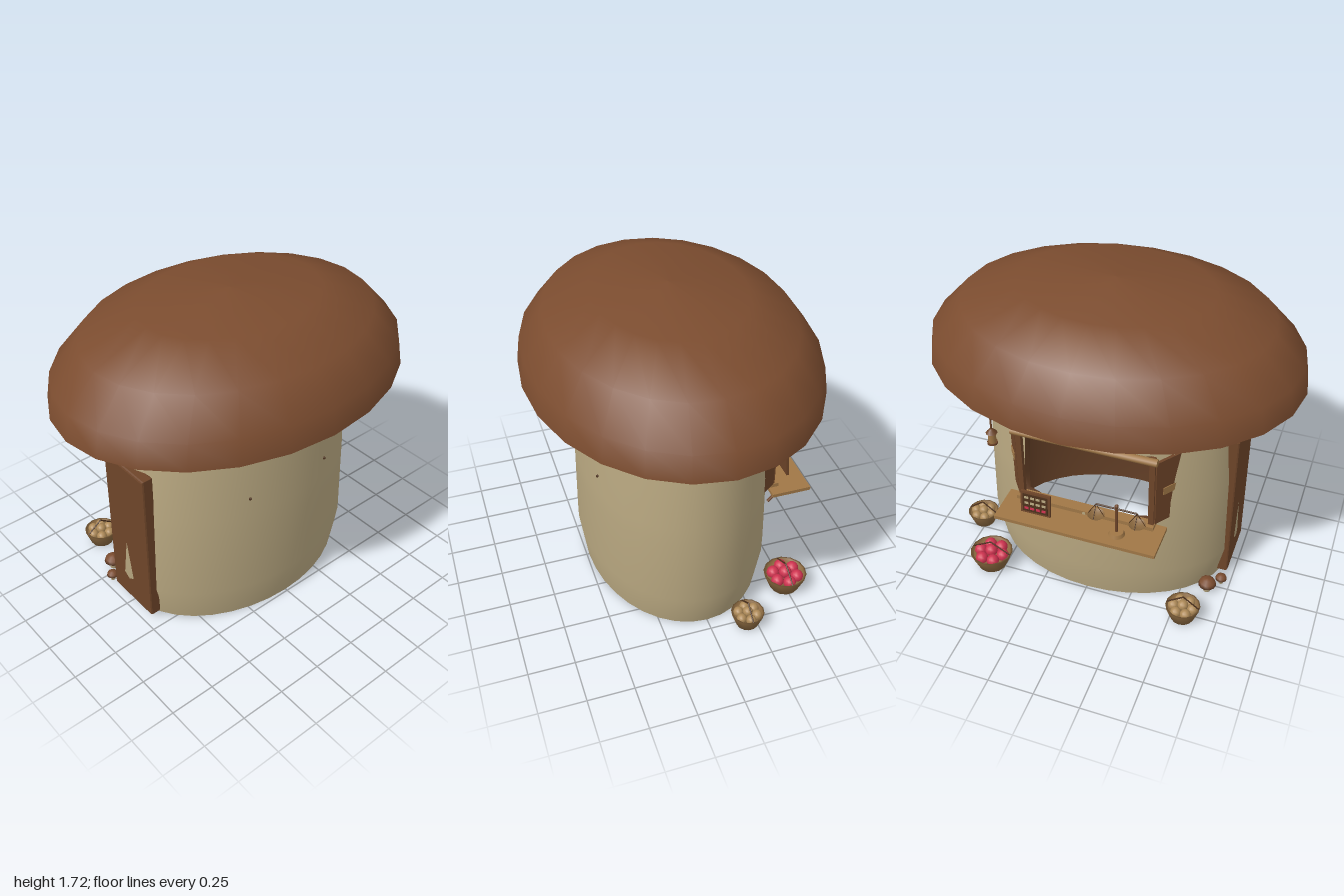
import * as THREE from 'three';

const mat = (name, color, side = THREE.FrontSide) => {
  const m = new THREE.MeshStandardMaterial({ color, side });
  m.name = name;
  return m;
};
const M = {
  stem: mat('stemCream', 0xb8a780, THREE.DoubleSide),
  cap: mat('capBrown', 0x7b4c2f),
  under: mat('gillGrey', 0xa59d84),
  inside: mat('interiorBrown', 0x5f3c24, THREE.DoubleSide),
  door: mat('doorBrown', 0x6e4529),
  wood: mat('lightWood', 0xa07746),
  dark: mat('darkWood', 0x4c301c),
  basket: mat('wicker', 0x8a683f, THREE.DoubleSide),
  red: mat('appleRed', 0xcf3350),
  bun: mat('bunTan', 0xae8a58),
};

const DEPTH = 0.71; // plan of the stem: z radius / x radius
const INNER = 0.95; // inner wall scale
const STEP = Math.PI / 18;
const PROFILE = [[0, 0.685], [0.2, 0.724], [0.59, 0.716], [0.7, 0.714], [1.0, 0.688], [1.12, 0.672], [1.22, 0.662]];

function add(parent, name, geo, material, x = 0, y = 0, z = 0) {
  const m = new THREE.Mesh(geo, material);
  m.name = name;
  m.position.set(x, y, z);
  parent.add(m);
  return m;
}
const box = (p, name, w, h, d, material, x, y, z) => add(p, name, new THREE.BoxGeometry(w, h, d), material, x, y, z);

// Round bar between two points
function rod(p, name, a, b, r, material, sides = 8) {
  const A = new THREE.Vector3(...a), B = new THREE.Vector3(...b), d = B.clone().sub(A);
  const m = add(p, name, new THREE.CylinderGeometry(r, r, d.length(), sides), material);
  m.position.copy(A).add(B).multiplyScalar(0.5);
  m.quaternion.setFromUnitVectors(new THREE.Vector3(0, 1, 0), d.normalize());
  return m;
}

function lathe(p, name, pts, seg, material, x = 0, y = 0, z = 0) {
  return add(p, name, new THREE.LatheGeometry(pts.map(q => new THREE.Vector2(...q)), seg), material, x, y, z);
}

const wallPoint = (i, j, s) => {
  const [y, r] = PROFILE[j];
  return [s * r * Math.sin(i * STEP), y, -s * DEPTH * r * Math.cos(i * STEP)];
};
function surface(pos, idx) {
  const g = new THREE.BufferGeometry();
  g.setAttribute('position', new THREE.Float32BufferAttribute(pos, 3));
  g.setIndex(idx);
  g.computeVertexNormals();
  return g;
}

// Oval wall with the counter window left open at the back
function wall(scale, inward) {
  const pos = [], idx = [];
  for (let j = 0; j < PROFILE.length; j++) for (let i = 0; i < 36; i++) pos.push(...wallPoint(i, j, scale));
  for (let j = 0; j < PROFILE.length - 1; j++) for (let i = 0; i < 36; i++) {
    if ((i < 3 || i > 32) && (j === 2 || j === 3)) continue;
    const a = j * 36 + i, b = j * 36 + (i + 1) % 36, c = b + 36, d = a + 36;
    if (inward) idx.push(a, b, d, d, b, c);
    else idx.push(b, a, d, b, d, c);
  }
  return surface(pos, idx);
}

// Strip joining outer and inner wall along a path of grid points
function wallEdge(path) {
  const pos = [], idx = [];
  path.forEach(([i, j], k) => {
    pos.push(...wallPoint(i, j, 1), ...wallPoint(i, j, INNER));
    if (k) idx.push(2 * k - 2, 2 * k - 1, 2 * k, 2 * k, 2 * k - 1, 2 * k + 1);
  });
  return surface(pos, idx);
}

function basket(parent, name, x, z, r, h, fruit, fr) {
  const g = new THREE.Group();
  g.name = name;
  g.position.set(x, 0.005, z);
  parent.add(g);
  lathe(g, 'basketBowl', [[0, 0], [r * 0.68, 0], [r, h], [r * 0.9, h], [r * 0.85, h * 0.72], [0, h * 0.72]], 14, M.basket);
  for (let i = 0; i < 7; i++) {
    const q = i ? r * 0.56 : 0, a = i * Math.PI / 3;
    add(g, 'basketFruit', new THREE.SphereGeometry(fr, 10, 8), fruit, q * Math.cos(a), h * 0.85 + (i ? 0 : fr * 0.5), q * Math.sin(a));
  }
  for (const s of [-1, 1]) rod(g, 'basketHandle', [s * r * 0.94, h, 0], [0, h + 0.065, 0], 0.004, M.dark, 6);
}

function mushroom(parent, x, z, r, h) {
  const g = new THREE.Group();
  g.name = 'smallMushroom';
  g.position.set(x, 0, z);
  parent.add(g);
  lathe(g, 'smallMushroomStem', [[0, 0], [r * 0.4, 0], [r * 0.28, h * 0.65]], 10, M.stem);
  lathe(g, 'smallMushroomCap', [[0, h * 0.55], [r, h * 0.55], [r * 0.85, h * 0.8], [r * 0.45, h * 0.97], [0, h]], 12, M.cap);
}

export function createModel() {
  const root = new THREE.Group();
  root.name = 'mushroomShop';

  // Cap
  lathe(root, 'cap', [[1, 1.25], [0.975, 1.39], [0.815, 1.56], [0.51, 1.68], [0, 1.72]], 24, M.cap).scale.z = 0.77;
  lathe(root, 'capUnderside', [[0.4, 1.19], [0.66, 1.19], [0.925, 1.21], [1, 1.25]], 24, M.under).scale.z = 0.77;

  // Hollow stem
  add(root, 'stemWall', wall(1, false), M.stem);
  add(root, 'innerWall', wall(INNER, true), M.inside);
  add(root, 'stemRim', wallEdge(Array.from({ length: 37 }, (_, i) => [i, 0])), M.stem);
  const hole = [];
  for (let i = -3; i <= 3; i++) hole.push([i, 2]);
  hole.push([3, 3]);
  for (let i = 3; i >= -3; i--) hole.push([i, 4]);
  hole.push([-3, 3], [-3, 2]);
  add(root, 'windowReveal', wallEdge(hole), M.inside);
  const ceiling = add(root, 'ceiling', new THREE.CircleGeometry(0.65, 36), M.inside, 0, 1.185, 0);
  ceiling.rotation.x = Math.PI / 2;
  ceiling.scale.y = DEPTH;

  // Door on one side with softened corners
  const w = 0.155, top = 0.955, low = 0.05;
  const doorShape = new THREE.Shape([[-w, low], [w, low], [w, top], [-w, top]].map(q => new THREE.Vector2(...q)));
  const doorGeo = new THREE.ExtrudeGeometry(doorShape, { depth: 0.046, bevelThickness: 0.01, bevelSize: 0.012, bevelSegments: 2 });
  add(root, 'door', doorGeo, M.door, -0.709, 0, 0.02).rotation.y = Math.PI / 2;

  // Pegs on the front wall
  for (const s of [-1, 1]) add(root, 'wallPeg', new THREE.SphereGeometry(0.008, 6, 5), M.dark, s * 0.26, 0.8, 0.468);

  // Window frame, shutters and brackets
  const stall = new THREE.Group();
  stall.name = 'counterWindow';
  root.add(stall);
  for (const s of [-1, 1]) {
    box(stall, 'windowPost', 0.03, 0.47, 0.028, M.door, s * 0.36, 0.795, -0.472);
    const shutter = new THREE.Group();
    shutter.name = 'shutter';
    shutter.position.set(s * 0.375, 0.8, -0.472);
    shutter.rotation.y = s > 0 ? -0.945 : Math.PI + 0.945;
    stall.add(shutter);
    box(shutter, 'shutterPanel', 0.16, 0.405, 0.016, M.door, 0.08, 0, 0);
    box(shutter, 'shutterStrap', 0.08, 0.045, 0.024, M.wood, 0.085, 0, 0);
    rod(stall, 'shelfBracket', [s * 0.29, 0.55, -0.65], [s * 0.29, 0.39, -0.495], 0.009, M.door);
  }
  rod(stall, 'topBeam', [-0.39, 1.025, -0.495], [0.39, 1.025, -0.495], 0.021, M.wood, 10);
  box(stall, 'windowSill', 0.76, 0.025, 0.06, M.wood, 0, 0.582, -0.478);
  box(stall, 'counterShelf', 0.88, 0.02, 0.22, M.wood, 0, 0.562, -0.562);

  // Price board
  const board = new THREE.Group();
  board.name = 'priceBoard';
  board.position.set(0.235, 0.645, -0.585);
  board.rotation.x = 0.08;
  stall.add(board);
  box(board, 'boardFrame', 0.165, 0.135, 0.014, M.door, 0, 0, 0);
  box(board, 'boardFace', 0.14, 0.11, 0.004, M.dark, 0, 0, -0.008);
  for (let r = 0; r < 3; r++) for (let c = 0; c < 4; c++)
    box(board, 'boardMark', 0.022, 0.014, 0.003, r === 2 ? M.red : M.stem, -0.048 + c * 0.032, 0.034 - r * 0.034, -0.011);

  // Weighing scale
  const scale = new THREE.Group();
  scale.name = 'weighingScale';
  scale.position.set(-0.21, 0.572, -0.585);
  stall.add(scale);
  add(scale, 'scaleBase', new THREE.CylinderGeometry(0.036, 0.044, 0.02, 14), M.wood, 0, 0.01, 0);
  rod(scale, 'scalePost', [0, 0.01, 0], [0, 0.19, 0], 0.008, M.door);
  add(scale, 'scaleKnob', new THREE.SphereGeometry(0.011, 8, 6), M.door, 0, 0.192, 0);
  rod(scale, 'scaleBeam', [-0.11, 0.175, 0], [0.11, 0.175, 0], 0.005, M.dark, 6);
  for (const s of [-1, 1]) {
    lathe(scale, 'scalePan', [[0, 0.088], [0.025, 0.091], [0.045, 0.103]], 14, M.basket, s * 0.11, 0, 0);
    for (let k = 0; k < 4; k++) {
      const a = k * Math.PI / 2;
      rod(scale, 'panString', [s * 0.11, 0.175, 0], [s * 0.11 + 0.043 * Math.cos(a), 0.102, 0.043 * Math.sin(a)], 0.002, M.dark, 4);
    }
  }

  // Hanging lantern
  const lantern = new THREE.Group();
  lantern.name = 'lantern';
  lantern.position.set(0.455, 0, -0.578);
  root.add(lantern);
  rod(lantern, 'lanternArm', [0, 1.155, 0.18], [0, 1.145, 0], 0.007, M.door);
  rod(lantern, 'lanternHook', [0, 1.148, 0], [0, 1.07, 0], 0.005, M.door, 6);
  add(lantern, 'lanternBody', new THREE.CylinderGeometry(0.021, 0.021, 0.07, 10), M.wood, 0, 1.027, 0);
  add(lantern, 'lanternFoot', new THREE.CylinderGeometry(0.027, 0.027, 0.01, 10), M.door, 0, 0.992, 0);
  add(lantern, 'lanternRoof', new THREE.CylinderGeometry(0.008, 0.03, 0.025, 10), M.door, 0, 1.067, 0);

  // Baskets and little mushrooms on the ground
  basket(root, 'appleBasket', 0.575, -0.5, 0.12, 0.095, M.red, 0.036);
  basket(root, 'bunBasket', 0.77, -0.2, 0.09, 0.08, M.bun, 0.028);
  basket(root, 'bunBasket', -0.565, -0.52, 0.095, 0.085, M.bun, 0.03);
  mushroom(root, -0.64, -0.29, 0.05, 0.09);
  mushroom(root, -0.7, -0.21, 0.033, 0.06);

  return root;
}
